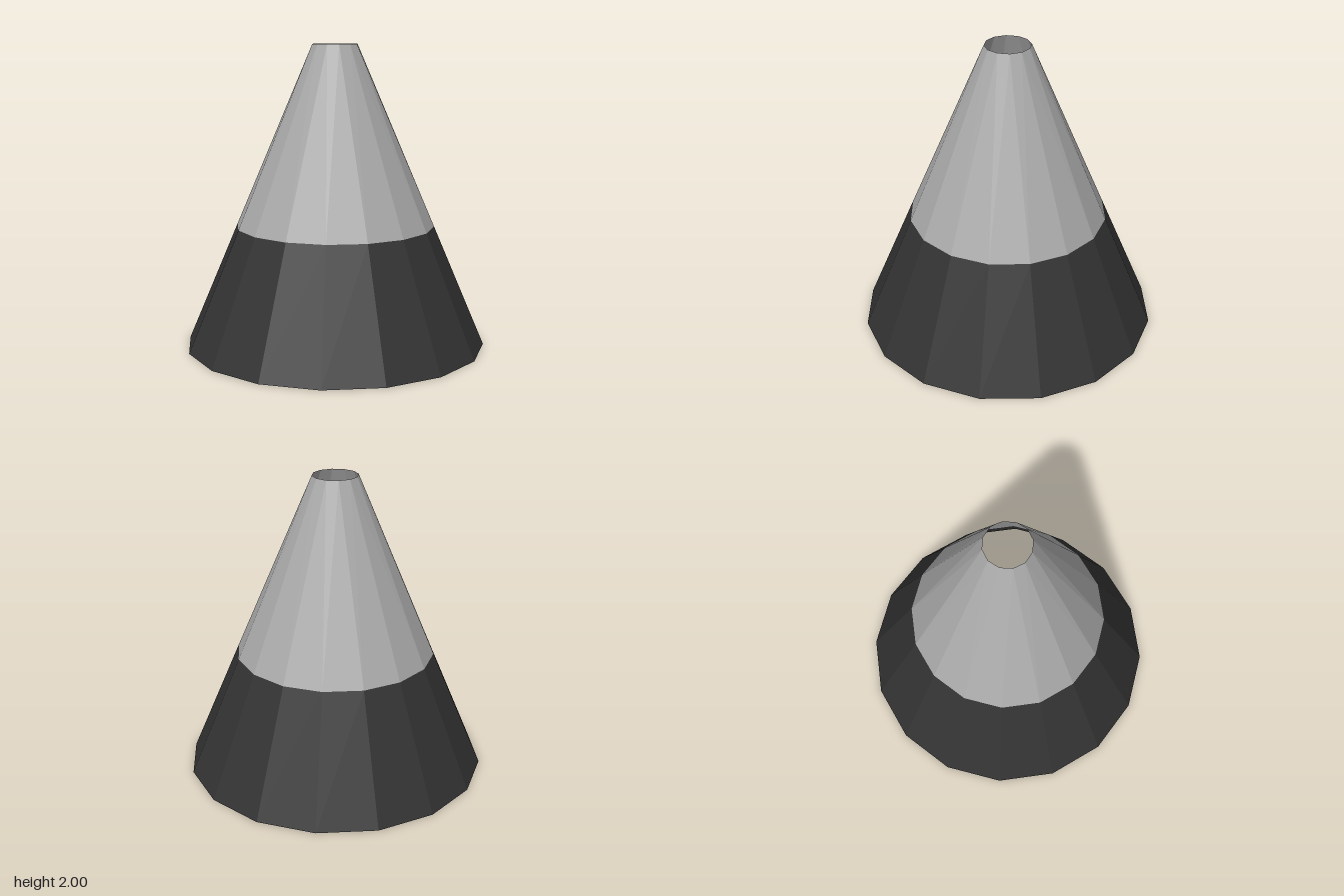
import * as THREE from 'three';

const SIDES = 16, RIM_SIDES = 12;

// Point on a ring, angle measured from the front (+z) towards +x
const ringPoint = (radius, y, angle) => [radius * Math.sin(angle), y, radius * Math.cos(angle)];

// Upper shell: a 16-sided ring joined by triangles to a 12-sided rim turned half a step
function upperShellGeometry(lowRadius, lowY, rimRadius, rimY) {
  const step = 2 * Math.PI / SIDES, rimStep = 2 * Math.PI / RIM_SIDES;
  const low = i => ringPoint(lowRadius, lowY, i * step);
  const rim = j => ringPoint(rimRadius, rimY, (j + 0.5) * rimStep);
  const nearestRim = i => Math.round((i + 0.5) * step / rimStep - 0.5);
  const positions = [];
  for (let i = 0; i < SIDES; i++) {
    const apex = nearestRim(i), previous = nearestRim(i - 1);
    // wide triangle standing on a lower edge
    positions.push(...low(i), ...low(i + 1), ...rim(apex));
    // narrow triangle hanging from a rim edge
    if (apex !== previous) positions.push(...low(i), ...rim(apex), ...rim(previous));
  }
  const geometry = new THREE.BufferGeometry();
  geometry.setAttribute('position', new THREE.Float32BufferAttribute(positions, 3));
  geometry.computeVertexNormals();
  return geometry;
}

export function createModel() {
  const group = new THREE.Group();
  group.name = 'openCone';

  const grey = new THREE.MeshStandardMaterial({ color: 0xaaaaaa, flatShading: true, side: THREE.DoubleSide });
  grey.name = 'light grey';
  const black = new THREE.MeshStandardMaterial({ color: 0x333333, flatShading: true, side: THREE.DoubleSide });
  black.name = 'charcoal';

  // Dark flared skirt, open at both ends
  const skirt = new THREE.Mesh(new THREE.CylinderGeometry(0.66, 1, 0.8, SIDES, 1, true), black);
  skirt.position.y = 0.4;
  skirt.name = 'lowerSkirt';

  // Light tapering shell with an open rim
  const shell = new THREE.Mesh(upperShellGeometry(0.66, 0.8, 0.15, 2), grey);
  shell.name = 'upperShell';

  group.add(skirt, shell);
  return group;
}
